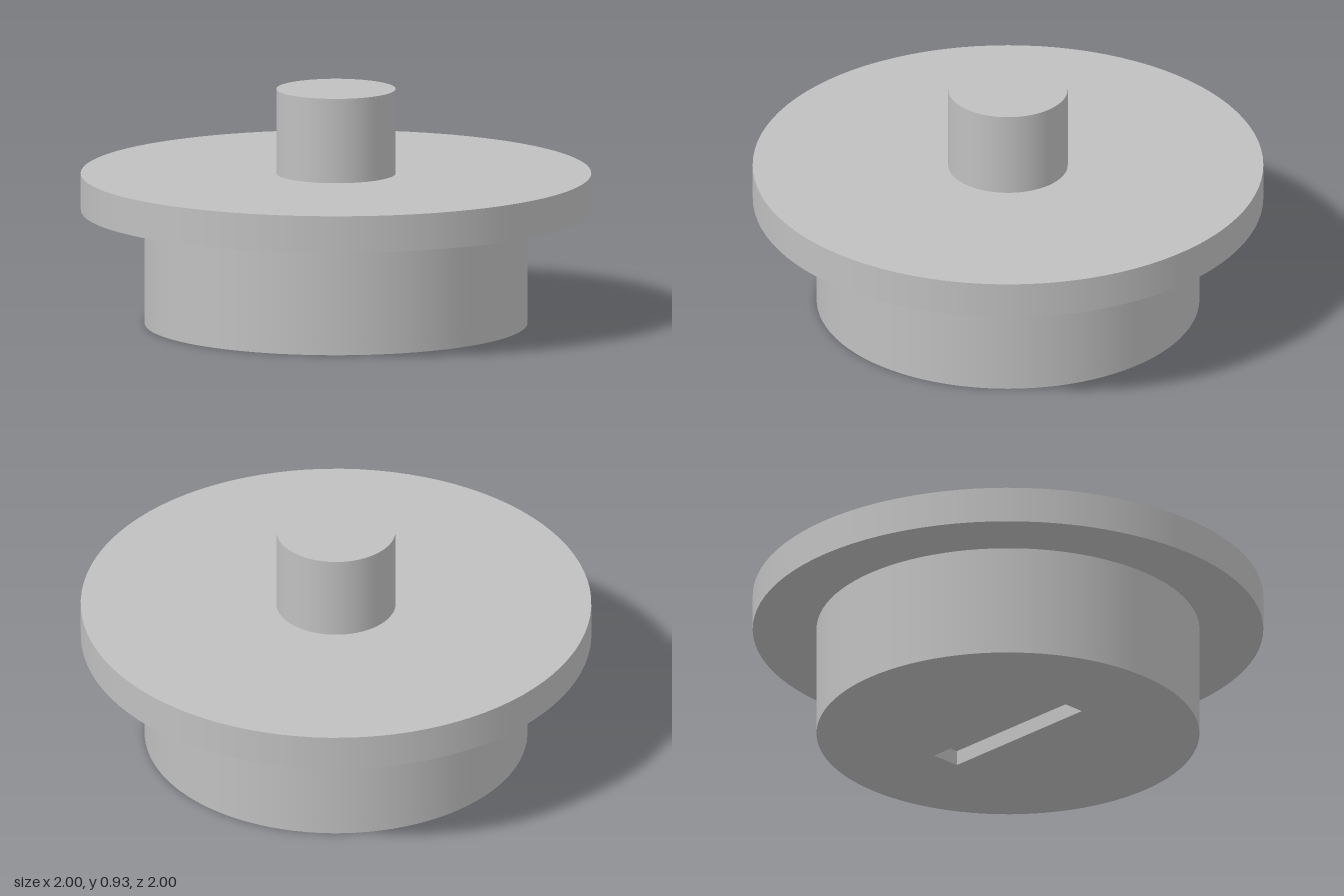
import * as THREE from 'three';
import { toCreasedNormals } from 'three/addons/utils/BufferGeometryUtils.js';

const SEGMENTS = 96;
const BODY_RADIUS = 0.75;
const SLOT = { length: 0.7, width: 0.125, depth: 0.06 };

export function createModel() {
  const model = new THREE.Group();
  model.name = 'flangedPlug';
  const grey = new THREE.MeshStandardMaterial({ color: 0xc0c0c0 });
  grey.name = 'plain grey';

  const add = (name, geometry) => {
    const mesh = new THREE.Mesh(geometry, grey);
    mesh.name = name;
    model.add(mesh);
  };
  // Upright disc between two heights
  const disc = (name, radius, bottom, top) => add(name,
    new THREE.CylinderGeometry(radius, radius, top - bottom, SEGMENTS).translate(0, (bottom + top) / 2, 0));

  // Bottom layer of the body, pierced by the slot
  const outline = new THREE.Shape().absarc(0, 0, BODY_RADIUS, 0, Math.PI * 2, false);
  const l = SLOT.length / 2, w = SLOT.width / 2;
  outline.holes.push(new THREE.Path([
    new THREE.Vector2(-l, -w), new THREE.Vector2(-l, w),
    new THREE.Vector2(l, w), new THREE.Vector2(l, -w),
  ]));
  const slotted = new THREE.ExtrudeGeometry(outline, {
    depth: SLOT.depth, bevelEnabled: false, curveSegments: SEGMENTS / 2,
  }).rotateX(-Math.PI / 2);
  add('slottedBase', toCreasedNormals(slotted, Math.PI / 6));

  // Body, wide flange and central pin
  disc('body', BODY_RADIUS, SLOT.depth, 0.45);
  disc('flange', 1, 0.45, 0.595);
  disc('pin', 0.234, 0.595, 0.93);

  return model;
}
